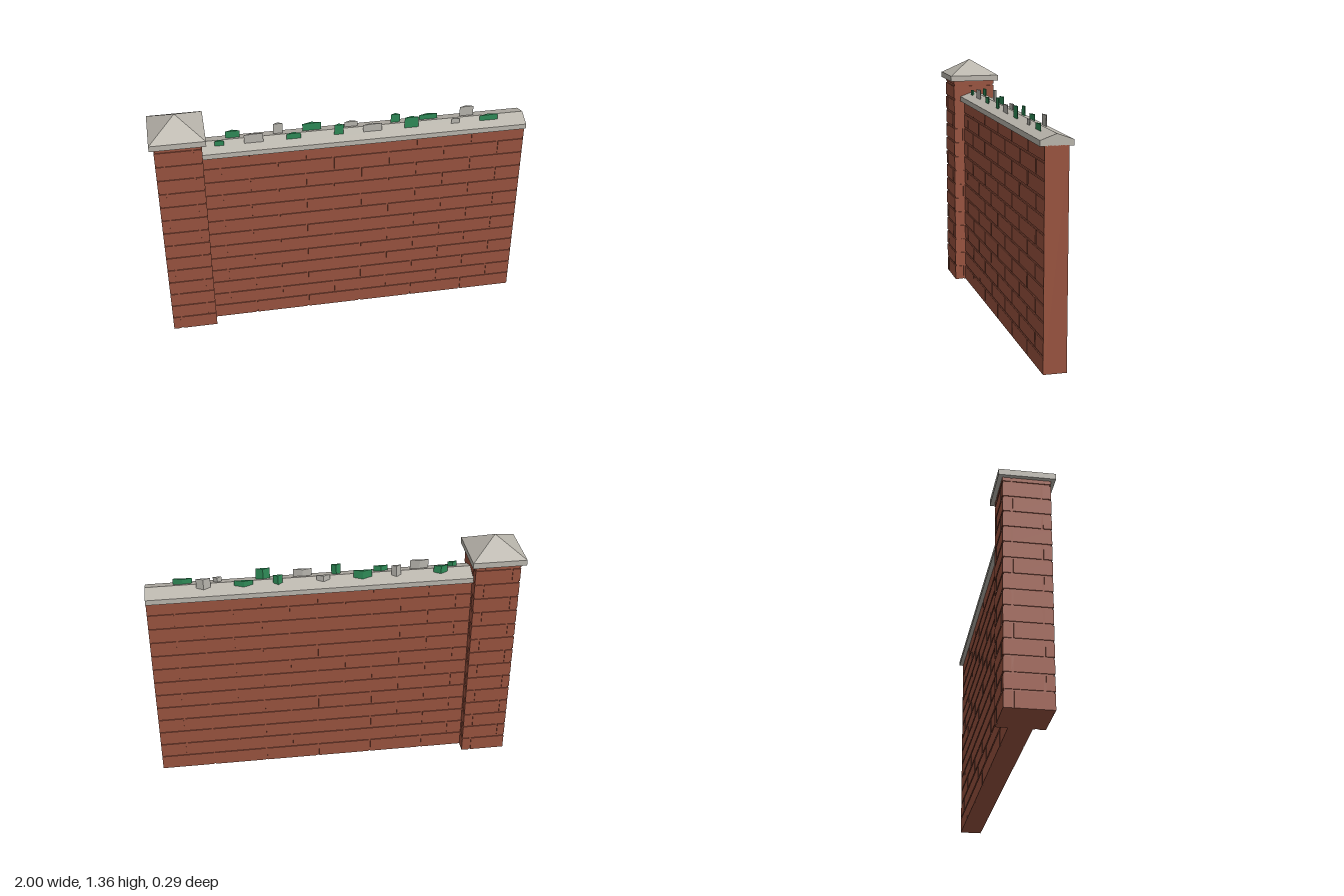
import * as THREE from 'three';
import { mergeGeometries } from 'three/addons/utils/BufferGeometryUtils.js';

const COURSE = 0.0865, BRICK = 0.3, JOINT = 0.011, DEPTH = 0.006;

function material(name, color) {
  const m = new THREE.MeshStandardMaterial({ color, flatShading: true });
  m.name = name;
  return m;
}

// Running-bond brick facing: spans x, stands on y = 0, its face points to +z at z = 0
function brickFacing(length, height, firstJoint) {
  const parts = [];
  for (let row = 0; row * COURSE < height - 0.01; row++) {
    const y0 = row === 0 ? 0 : row * COURSE + JOINT / 2 + 0.0015;
    const y1 = Math.min(height, (row + 1) * COURSE - JOINT / 2 + 0.0015);
    const shift = firstJoint + (row % 2) * BRICK / 2;
    for (let k = -8; k <= 8; k++) {
      const x0 = Math.max(-length / 2, shift + k * BRICK + JOINT / 2);
      const x1 = Math.min(length / 2, shift + (k + 1) * BRICK - JOINT / 2);
      if (x1 - x0 < 0.005) continue;
      const g = new THREE.BoxGeometry(x1 - x0, y1 - y0, DEPTH);
      g.translate((x0 + x1) / 2, (y0 + y1) / 2, -DEPTH / 2);
      parts.push(g);
    }
  }
  return mergeGeometries(parts);
}

export function createModel() {
  const model = new THREE.Group();
  model.name = 'gardenWall';
  const brick = material('brick red', 0x99533f);
  const stone = material('pale stone', 0xbab6ad);
  const green = material('green glass', 0x2e8b57);
  const clear = material('clear glass', 0xb7b5ae);

  const add = (name, geometry, mat, x = 0, y = 0, z = 0, parent = model) => {
    const mesh = new THREE.Mesh(geometry, mat);
    mesh.name = name;
    mesh.position.set(x, y, z);
    parent.add(mesh);
    return mesh;
  };

  // Pillar: mortar core with brick facing on four sides
  const pillar = new THREE.Group();
  pillar.name = 'pillar';
  pillar.position.x = -0.855;
  model.add(pillar);
  const half = 0.1225, pillarTop = 1.24, core = 2 * (half - DEPTH + 0.001);
  add('pillarCore', new THREE.BoxGeometry(core, pillarTop, core), brick, 0, pillarTop / 2, 0, pillar);
  const pillarFacing = brickFacing(2 * half, pillarTop, -0.076);
  for (let i = 0; i < 4; i++) {
    const a = i * Math.PI / 2;
    add('pillarBricks', pillarFacing, brick, Math.sin(a) * half, 0, Math.cos(a) * half, pillar).rotation.y = a;
  }

  // Pillar cap: slab and shallow pyramid
  add('capSlab', new THREE.BoxGeometry(0.29, 0.032, 0.29), stone, 0, 1.254, 0, pillar);
  const pyramid = new THREE.ConeGeometry(0.143 * Math.SQRT2, 0.088, 4);
  pyramid.rotateY(Math.PI / 4);
  add('capPyramid', pyramid, stone, 0, 1.314, 0, pillar);

  // Wall: mortar core with brick facing front and back
  const wallTop = 1.118, wallLength = 1.74, wallX = 0.13, wallHalf = 0.06;
  const wallDepth = 2 * (wallHalf - DEPTH + 0.001);
  add('wallCore', new THREE.BoxGeometry(wallLength, wallTop, wallDepth), brick, wallX, wallTop / 2, 0);
  add('wallBricksFront', brickFacing(wallLength, wallTop, 0.575), brick, wallX, 0, wallHalf);
  add('wallBricksBack', brickFacing(wallLength, wallTop, -0.575), brick, wallX, 0, -wallHalf).rotation.y = Math.PI;
  // Plain end face
  add('wallEnd', new THREE.BoxGeometry(0.004, wallTop, 2 * wallHalf), brick, 0.998, wallTop / 2, 0);

  // Ridged coping
  const profile = new THREE.Shape([[-0.083, 1.115], [0.083, 1.115], [0.083, 1.144], [0, 1.174], [-0.083, 1.144]]
    .map(([x, y]) => new THREE.Vector2(x, y)));
  const coping = new THREE.ExtrudeGeometry(profile, { depth: wallLength, bevelEnabled: false });
  coping.rotateY(Math.PI / 2);
  add('coping', coping, stone, -0.74, 0, 0);

  // Glass shards set alternately in the front and back slopes: x, width, top, clear?
  const shards = [
    [-0.64, 0.05, 1.19, 0], [-0.565, 0.075, 1.205, 0], [-0.46, 0.1, 1.213, 1], [-0.325, 0.05, 1.224, 1],
    [-0.25, 0.075, 1.194, 0], [-0.145, 0.1, 1.208, 0], [-0.01, 0.05, 1.22, 0], [0.065, 0.072, 1.194, 1],
    [0.17, 0.1, 1.205, 1], [0.305, 0.05, 1.213, 0], [0.38, 0.075, 1.224, 0], [0.485, 0.1, 1.194, 0],
    [0.62, 0.045, 1.19, 1], [0.695, 0.075, 1.22, 1], [0.803, 0.1, 1.194, 0],
  ];
  shards.forEach(([x, width, top, isClear], i) => {
    const r = width / Math.sqrt(3), height = top - 1.14;
    const g = new THREE.CylinderGeometry(r, r, height, 3, 1, false, Math.PI);
    g.scale(1, 1, 0.014 / (1.5 * r));
    const shard = add('glassShard', g, isClear ? clear : green, x, 1.14 + height / 2, i % 2 ? -0.03 : 0.03);
    shard.rotation.z = ((i % 3) - 1) * 0.03;
  });

  return model;
}
